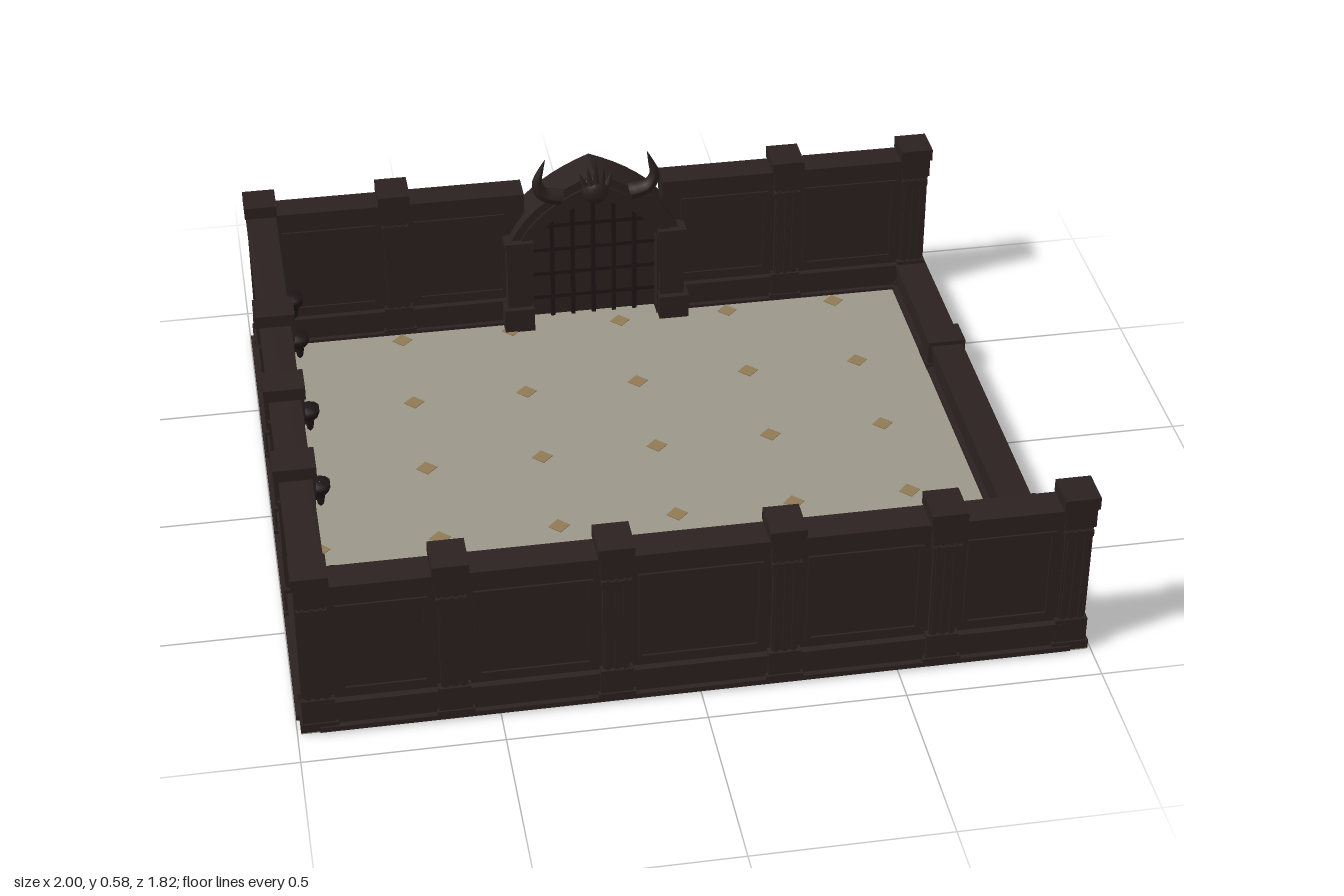
import * as THREE from 'three';

const mat = (name, color) => Object.assign(new THREE.MeshStandardMaterial({ color }), { name });
const stone = mat('dark stone', 0x2b2120);
const iron = mat('black iron', 0x1e1617);
const paving = mat('pale paving', 0x9b978a);
const inlay = mat('ochre inlay', 0x8f7a54);

const X_WALL = 0.944, Z_WALL = 0.852;

function add(parent, name, geo, material, x = 0, y = 0, z = 0) {
  const m = new THREE.Mesh(geo, material);
  m.name = name;
  m.position.set(x, y, z);
  parent.add(m);
  return m;
}

// Box given by its bottom and top heights
const box = (parent, name, w, d, y0, y1, x = 0, z = 0, material = stone) =>
  add(parent, name, new THREE.BoxGeometry(w, y1 - y0, d), material, x, (y0 + y1) / 2, z);

// Extrusion centred on z = 0
function plate(shape, depth, segments = 10) {
  return new THREE.ExtrudeGeometry(shape, { depth, bevelEnabled: false, curveSegments: segments })
    .translate(0, 0, -depth / 2);
}

function group(parent, name) {
  const g = new THREE.Group();
  g.name = name;
  parent.add(g);
  return g;
}

// Raised rectangular moulding showing on both wall faces
function panelFrame(parent, x0, x1, y0, y1) {
  const rect = (C, i) => {
    const p = new C();
    p.moveTo(x0 + i, y0 + i);
    p.lineTo(x1 - i, y0 + i);
    p.lineTo(x1 - i, y1 - i);
    p.lineTo(x0 + i, y1 - i);
    p.closePath();
    return p;
  };
  const s = rect(THREE.Shape, 0);
  s.holes.push(rect(THREE.Path, 0.012));
  add(parent, 'panelFrame', plate(s, 0.064), stone);
}

// Stepped plinth shared by the tall and low walls
function plinth(parent, x0, x1) {
  const w = x1 - x0, c = (x0 + x1) / 2;
  box(parent, 'baseStep', w, 0.11, 0.006, 0.02, c);
  box(parent, 'plinth', w, 0.08, 0.02, 0.072, c);
  box(parent, 'plinthLedge', w, 0.09, 0.072, 0.088, c);
}

// Tall wall stretch along local x; bays lie between the post positions
function wall(parent, x0, x1, posts) {
  const w = x1 - x0, c = (x0 + x1) / 2;
  plinth(parent, x0, x1);
  box(parent, 'wallCore', w, 0.052, 0.088, 0.4, c);
  box(parent, 'lowerCornice', w, 0.066, 0.378, 0.398, c);
  box(parent, 'upperCornice', w, 0.076, 0.398, 0.42, c);
  box(parent, 'coping', w, 0.084, 0.42, 0.44, c);
  posts.forEach(p => pilaster(parent, p));
  const stops = [x0, ...posts, x1];
  for (let i = 0; i + 1 < stops.length; i++)
    panelFrame(parent, stops[i] + 0.055, stops[i + 1] - 0.055, 0.108, 0.372);
}

// Fluted post; square ones stand on the corners
function pilaster(parent, x, z = 0, square = false) {
  const g = group(parent, square ? 'cornerPost' : 'pilaster');
  g.position.set(x, 0, z);
  const k = square ? -0.012 : 0;
  const part = (name, w, d, y0, y1) => box(g, name, w, d + k, y0, y1);
  part('postFoot', 0.094, 0.11, 0.006, 0.03);
  part('postBase', 0.082, 0.1, 0.03, 0.098);
  part('postShaft', 0.066, 0.08, 0.098, 0.4);
  part('postNeck', 0.074, 0.094, 0.355, 0.372);
  part('postCapital', 0.08, 0.1, 0.385, 0.44);
  part('postCap', 0.09, 0.108, 0.44, 0.474);
  for (const o of [-0.022, 0, 0.022]) {
    box(g, 'flute', 0.011, 0.09 + k, 0.098, 0.375, o);
    if (square) box(g, 'flute', 0.078, 0.011, 0.098, 0.375, 0, o);
  }
}

// Horn: a tube whose radius shrinks along its path
function horn(points, radius) {
  const curve = new THREE.CatmullRomCurve3(points.map(p => new THREE.Vector3(...p)));
  const n = 14, sides = 8;
  const geo = new THREE.TubeGeometry(curve, n, radius, sides);
  const pos = geo.attributes.position, v = new THREE.Vector3();
  for (let i = 0; i < pos.count; i++) {
    const t = Math.floor(i / (sides + 1)) / n;
    const c = curve.getPointAt(t);
    v.fromBufferAttribute(pos, i).sub(c).multiplyScalar(1.02 - t ** 1.5).add(c);
    pos.setXYZ(i, v.x, v.y, v.z);
  }
  geo.computeVertexNormals();
  return geo;
}

// Pointed arch outline
function arch(C, half, spring, apex) {
  const p = new C();
  const cx = half * 0.8, cy = spring + (apex - spring) * 0.64;
  p.moveTo(-half, 0.008);
  p.lineTo(half, 0.008);
  p.lineTo(half, spring);
  p.quadraticCurveTo(cx, cy, 0, apex);
  p.quadraticCurveTo(-cx, cy, -half, spring);
  p.closePath();
  return p;
}

function buildGate(parent) {
  const g = group(parent, 'gate');
  g.position.z = -Z_WALL;
  const ring = (half, spring, apex, inHalf, inApex) => {
    const s = arch(THREE.Shape, half, spring, apex);
    s.holes.push(arch(THREE.Path, inHalf, spring, inApex));
    return s;
  };
  add(g, 'gateArch', plate(ring(0.25, 0.28, 0.5, 0.18, 0.42), 0.118), stone, 0, 0, 0.005);
  add(g, 'archMoulding', plate(ring(0.225, 0.28, 0.47, 0.2, 0.445), 0.13), stone, 0, 0, 0.005);
  add(g, 'gateDoor', plate(arch(THREE.Shape, 0.182, 0.28, 0.425), 0.03), stone);

  // Portcullis bars, clipped to the arch height
  for (let i = -2; i <= 2; i++)
    box(g, 'verticalBar', 0.012, 0.054, 0.01, 0.42 - Math.abs(i) * 0.025, i * 0.06, 0, iron);
  for (const y of [0.07, 0.15, 0.23, 0.31])
    box(g, 'crossBar', y > 0.3 ? 0.33 : 0.36, 0.046, y, y + 0.012, 0, 0, iron);

  for (const s of [-1, 1]) {
    box(g, 'gatePedestal', 0.086, 0.15, 0.006, 0.085, s * 0.226, 0.022);
    box(g, 'gateLeg', 0.07, 0.134, 0.085, 0.28, s * 0.222, 0.012);
    box(g, 'legCapital', 0.082, 0.144, 0.28, 0.302, s * 0.222, 0.014);
    add(g, 'gateHorn', horn([[s * 0.1, 0.445, 0.08], [s * 0.15, 0.462, 0.085],
      [s * 0.168, 0.5, 0.088], [s * 0.158, 0.54, 0.09], [s * 0.145, 0.58, 0.096]], 0.024), stone);
  }

  // Crowned keystone facing the yard
  const boss = add(g, 'keystone', new THREE.SphereGeometry(0.04, 12, 8), stone, 0, 0.455, 0.07);
  boss.scale.set(1, 1.1, 0.9);
  for (let i = -2; i <= 2; i++) {
    const h = 0.075 - Math.abs(i) * 0.015;
    const spike = add(g, 'crownSpike', new THREE.ConeGeometry(0.011, h, 6), stone,
      i * 0.02, 0.488 + h / 2 - Math.abs(i) * 0.004, 0.092);
    spike.rotation.z = -i * 0.16;
  }
}

// Horned mask hung on the inside of the front wall
function buildMask(parent) {
  const g = group(parent, 'wallMask');
  g.position.set(0, 0.24, Z_WALL - 0.034);
  g.rotation.y = Math.PI;
  const s = new THREE.Shape();
  s.moveTo(0, -0.11);
  s.quadraticCurveTo(0.085, -0.07, 0.09, 0.02);
  s.quadraticCurveTo(0.08, 0.08, 0, 0.085);
  s.quadraticCurveTo(-0.08, 0.08, -0.09, 0.02);
  s.quadraticCurveTo(-0.085, -0.07, 0, -0.11);
  add(g, 'maskBack', plate(s, 0.026), stone);
  add(g, 'maskRing', new THREE.TorusGeometry(0.068, 0.008, 6, 24), stone, 0, 0, 0.013);
  add(g, 'maskFace', new THREE.SphereGeometry(0.045, 14, 10), stone, 0, 0.012, 0.01).scale.set(1, 1.1, 0.45);
  add(g, 'maskSnout', new THREE.SphereGeometry(0.026, 12, 8), stone, 0, -0.022, 0.018).scale.z = 0.7;
  add(g, 'noseRing', new THREE.TorusGeometry(0.018, 0.004, 6, 16), iron, 0, -0.05, 0.024);
  for (const k of [-1, 1]) {
    add(g, 'maskHorn', horn([[k * 0.035, 0.045, 0.014], [k * 0.085, 0.055, 0.014],
      [k * 0.1, 0.085, 0.014], [k * 0.09, 0.12, 0.014]], 0.014), stone);
    add(g, 'maskEye', new THREE.SphereGeometry(0.007, 8, 6), iron, k * 0.02, 0.028, 0.026);
  }
}

export function createModel() {
  const model = new THREE.Group();
  model.name = 'walledCourtyard';

  // Floor with diamond inlays
  box(model, 'floor', 1.98, 1.8, 0.002, 0.012, 0, 0, paving);
  const diamond = new THREE.CylinderGeometry(0.029, 0.029, 0.009, 4);
  for (let i = 0; i < 6; i++)
    for (let j = 0; j < 6; j++)
      for (const y of [0.0045, 0.0095])
        add(model, 'floorDiamond', diamond, inlay, -0.887 + i * 0.318, y, -0.765 + j * 0.317);

  const front = group(model, 'frontWall');
  front.position.z = Z_WALL;
  wall(front, -X_WALL, X_WALL, [-0.61, -0.21, 0.21, 0.61]);

  const back = group(model, 'backWall');
  back.position.z = -Z_WALL;
  wall(back, -X_WALL, -0.2, [-0.57]);
  wall(back, 0.2, X_WALL, [0.565]);

  const left = group(model, 'sideWall');
  left.position.x = -X_WALL;
  left.rotation.y = -Math.PI / 2;
  wall(left, -Z_WALL, Z_WALL, [-0.29, 0.06, 0.41]);

  // Low open side with two post stubs
  const low = group(model, 'lowWall');
  low.position.x = X_WALL;
  low.rotation.y = -Math.PI / 2;
  plinth(low, -Z_WALL, Z_WALL);
  for (const x of [-0.415, 0.41]) {
    box(low, 'stubFoot', 0.094, 0.112, 0.006, 0.03, x);
    box(low, 'postStub', 0.086, 0.106, 0.03, 0.1, x);
  }

  for (const x of [-X_WALL, X_WALL])
    for (const z of [-Z_WALL, Z_WALL]) pilaster(model, x, z, true);

  // Torch sconces along the side wall
  const cup = [[0.001, 0], [0.008, 0.008], [0.012, 0.03], [0.01, 0.038], [0.022, 0.046],
    [0.028, 0.062], [0.028, 0.076], [0.001, 0.076]].map(p => new THREE.Vector2(...p));
  const cupGeo = new THREE.LatheGeometry(cup, 10);
  for (const z of [-0.66, -0.46, -0.11, 0.23, 0.61]) {
    add(model, 'sconce', cupGeo, iron, -0.876, 0.19, z);
    box(model, 'sconceBracket', 0.045, 0.014, 0.215, 0.235, -0.9, z, iron);
  }

  buildGate(model);
  buildMask(model);
  return model;
}
